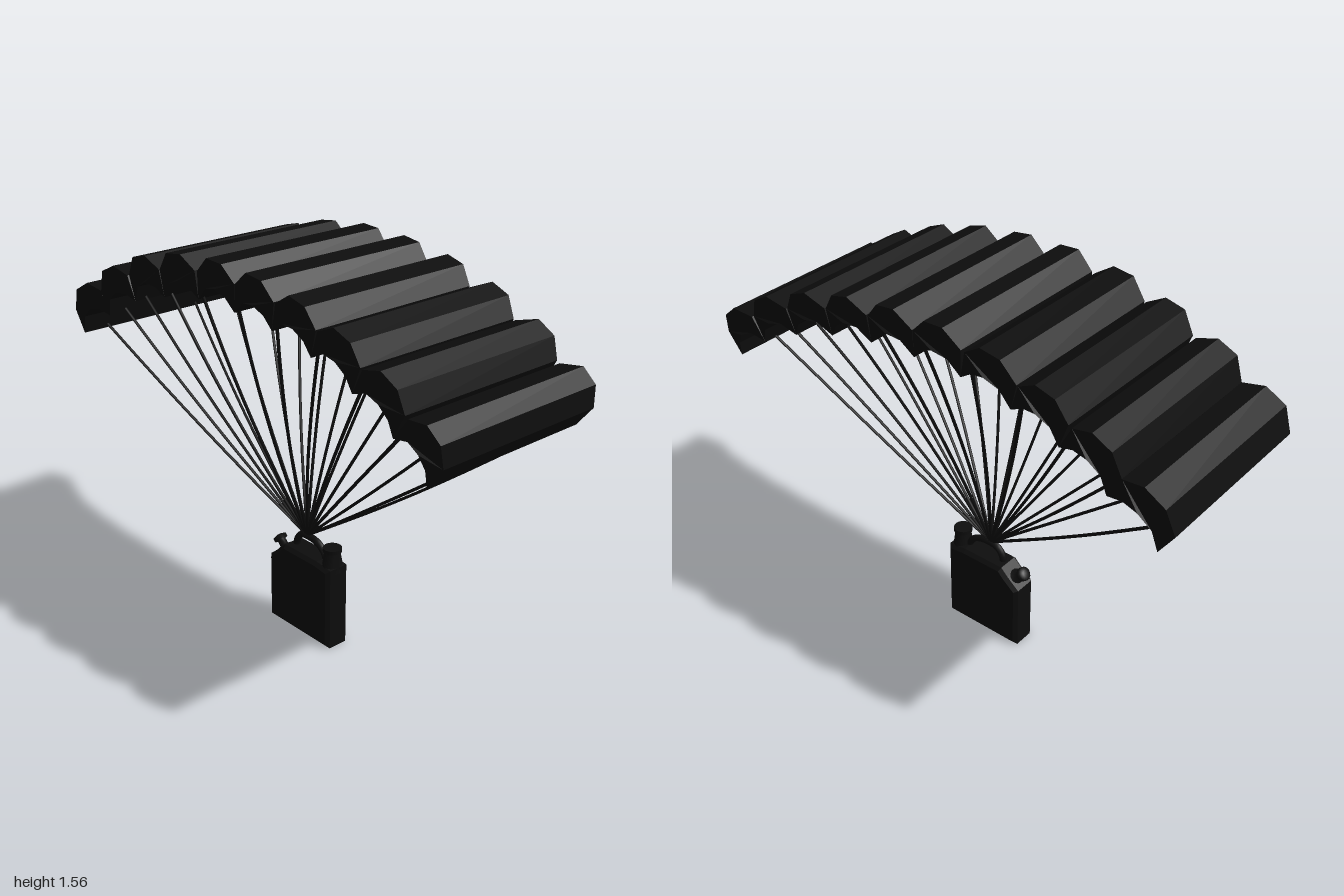
import * as THREE from 'three';

const fabric = new THREE.MeshStandardMaterial({ color: 0x0d0d0d });

// lower seam points of the canopy, from right to left
const TIPS = [
  [-0.94, 1.08], [-0.745, 1.2], [-0.56, 1.3], [-0.37, 1.36], [-0.165, 1.4], [0.035, 1.4],
  [0.23, 1.385], [0.42, 1.345], [0.61, 1.28], [0.79, 1.19], [0.935, 1.08],
];
// cell profile: [fraction of half width, height above the seam chord]
const CELL = [
  [-1, 0], [-0.5, 0.052], [0.1, 0.064], [0.6, 0.042], [1, 0],
  [1.02, 0.1], [0.45, 0.157], [-0.35, 0.161], [-1.03, 0.1],
];

function add(parent, name, geometry, x = 0, y = 0, z = 0) {
  const mesh = new THREE.Mesh(geometry, fabric);
  mesh.name = name;
  mesh.position.set(x, y, z);
  parent.add(mesh);
  return mesh;
}

// one inflated cell with slightly bulging ends
function cellGeometry(a, b) {
  const dx = b[0] - a[0], dy = b[1] - a[1];
  const h = Math.hypot(dx, dy) / 2;
  const shape = new THREE.Shape(CELL.map(([u, n]) => new THREE.Vector2(u * h, n)));
  const geo = new THREE.ExtrudeGeometry(shape, { depth: 1, bevelEnabled: false });
  const pos = geo.attributes.position;
  for (let i = 0; i < pos.count; i++) {
    const side = pos.getZ(i) > 0.5 ? 1 : -1;
    const middle = Math.max(0, 1 - Math.abs(pos.getX(i)) / h);
    pos.setZ(i, side * (0.357 + 0.016 * middle));
  }
  geo.rotateZ(Math.atan2(dy, dx));
  geo.translate((a[0] + b[0]) / 2, (a[1] + b[1]) / 2, 0);
  geo.computeVertexNormals();
  return geo;
}

// suspension line from the can's handle to a canopy seam
function lineGeometry([x, y], front) {
  const points = [];
  const y0 = 0.415, top = y + 0.015;
  for (let i = 0; i <= 6; i++) {
    const k = i / 6;
    const sag = (front ? 0.004 : 0.02) * Math.sin(Math.PI * k);
    const py = y0 + (top - y0) * k;
    const t = (py - y0) / 0.65;
    const z = front ? 0.24 * (1.15 * t - 0.15 * t * t) : -0.18 * (0.8 * t + 0.2 * t * t);
    points.push(new THREE.Vector3(x * k, py - sag * Math.abs(x), z));
  }
  return new THREE.TubeGeometry(new THREE.CatmullRomCurve3(points), 10, 0.006, 6);
}

function makeCan() {
  const can = new THREE.Group();
  can.name = 'fuelCan';

  // body with bevelled edges and a cut-off spout corner
  const bevel = 0.014;
  const outline = [[-0.17, 0], [0.177, 0], [0.177, 0.345], [0.1, 0.355], [-0.085, 0.355], [-0.115, 0.325], [-0.17, 0.28]];
  const shape = new THREE.Shape(outline.map(([x, y]) => new THREE.Vector2(x, y)));
  const body = new THREE.ExtrudeGeometry(shape, {
    depth: 0.11 - 2 * bevel, bevelThickness: bevel, bevelSize: bevel, bevelOffset: -bevel, bevelSegments: 1,
  });
  body.translate(0, 0, -0.055 + bevel);
  add(can, 'body', body);

  // filler column and its cap
  const column = new THREE.CylinderGeometry(0.03, 0.036, 0.09, 16);
  const pos = column.attributes.position;
  for (let i = 0; i < pos.count; i++) if (pos.getY(i) < 0) pos.setZ(i, pos.getZ(i) * 1.4);
  column.computeVertexNormals();
  add(can, 'fillerColumn', column, 0.143, 0.365);
  add(can, 'fillerCap', new THREE.CylinderGeometry(0.037, 0.037, 0.016, 16), 0.143, 0.412);

  // carrying handle
  const arch = new THREE.CatmullRomCurve3([
    [-0.062, 0.335], [-0.058, 0.375], [-0.035, 0.405], [0.01, 0.413], [0.06, 0.405], [0.095, 0.38], [0.112, 0.345],
  ].map(([x, y]) => new THREE.Vector3(x, y, 0)));
  add(can, 'handle', new THREE.TubeGeometry(arch, 20, 0.014, 8));

  // tilted pouring spout with a flared collar and a flanged cap
  const profile = [[0, 0], [0.032, 0], [0.032, 0.012], [0.017, 0.018], [0.017, 0.04], [0.028, 0.044], [0.028, 0.058], [0.012, 0.064], [0, 0.064]];
  const spout = add(can, 'spout', new THREE.LatheGeometry(profile.map(([r, y]) => new THREE.Vector2(r, y)), 14), -0.126, 0.303);
  spout.rotation.z = 0.82;
  return can;
}

export function createModel() {
  const model = new THREE.Group();
  model.name = 'parachuteWithFuelCan';

  const canopy = new THREE.Group();
  canopy.name = 'canopy';
  for (let i = 0; i < TIPS.length - 1; i++) add(canopy, 'canopyCell', cellGeometry(TIPS[i], TIPS[i + 1]));

  const lines = new THREE.Group();
  lines.name = 'suspensionLines';
  for (const tip of TIPS) {
    add(lines, 'frontLine', lineGeometry(tip, true));
    add(lines, 'rearLine', lineGeometry(tip, false));
  }

  model.add(canopy, lines, makeCan());
  return model;
}
